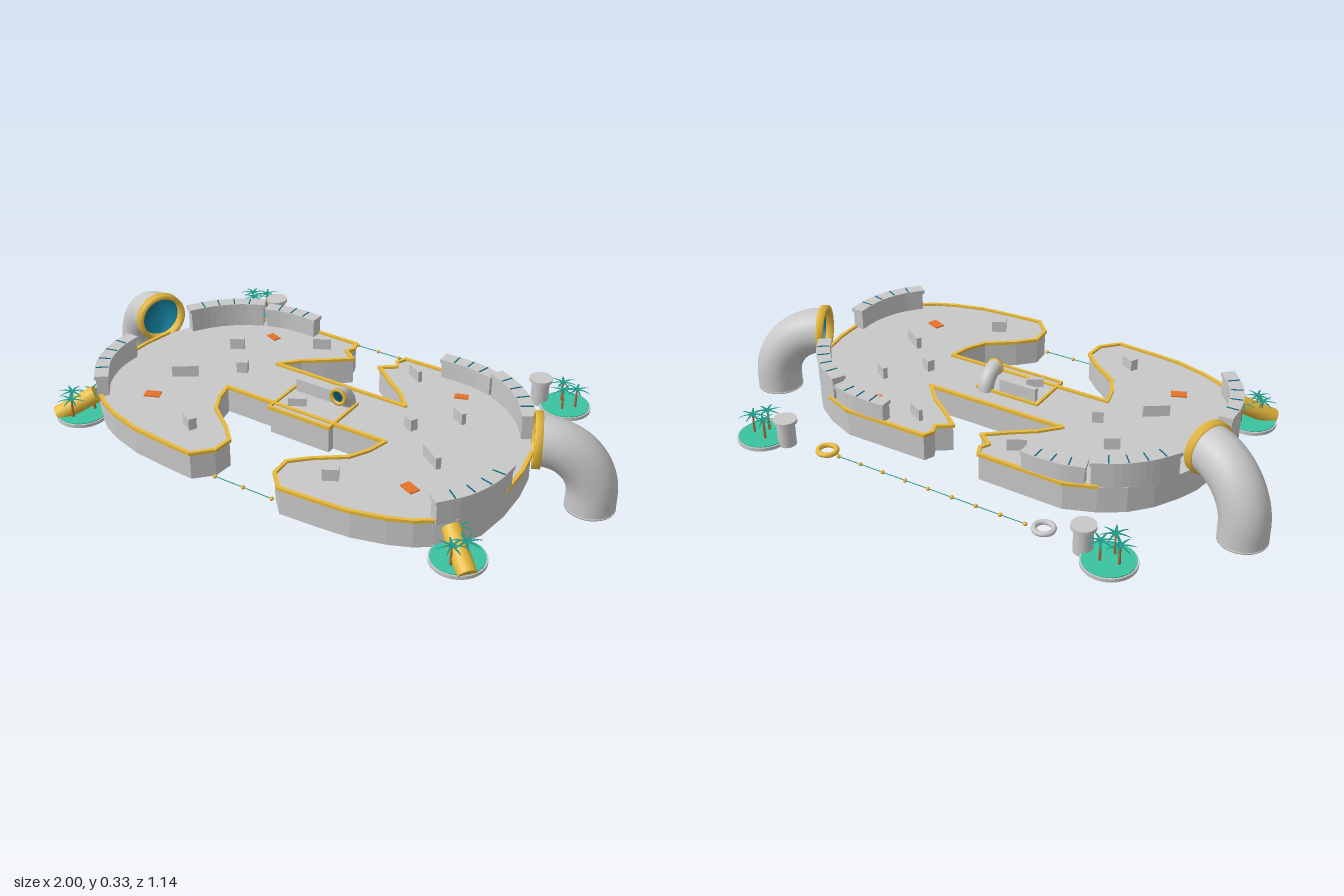
import * as THREE from 'three';

const mat = (name, color, side = THREE.FrontSide) => {
  const m = new THREE.MeshStandardMaterial({ color, side });
  m.name = name;
  return m;
};

export function createModel() {
  const root = new THREE.Group();
  root.name = 'arena';
  const grey = mat('grey', 0xc8c8c8);
  const yellow = mat('yellow', 0xeabc3e);
  const green = mat('green', 0x3bc2a0);
  const leafGreen = mat('leaf green', 0x1f9585, THREE.DoubleSide);
  const blue = mat('deep blue', 0x106c86, THREE.DoubleSide);
  const orange = mat('orange', 0xf5782e);
  const brown = mat('brown', 0xb0703c);

  const add = (parent, name, geo, material, x = 0, y = 0, z = 0, ry = 0) => {
    const m = new THREE.Mesh(geo, material);
    m.name = name;
    m.position.set(x, y, z);
    m.rotation.y = ry;
    parent.add(m);
    return m;
  };
  const group = (name, x = 0, y = 0, z = 0) => {
    const g = new THREE.Group();
    g.name = name;
    g.position.set(x, y, z);
    root.add(g);
    return g;
  };
  const box = (w, h, d) => new THREE.BoxGeometry(w, h, d);
  const cyl = (r, h, n = 24) => new THREE.CylinderGeometry(r, r, h, n);

  // Extrudes an [x, z] outline upward from y0 to y1
  const slab = (pts, y0, y1) => {
    const shape = new THREE.Shape(pts.map(([x, z]) => new THREE.Vector2(x, -z)));
    return new THREE.ExtrudeGeometry(shape, { depth: y1 - y0, bevelEnabled: false })
      .rotateX(-Math.PI / 2).translate(0, y0, 0);
  };

  // Straight bar between two points
  const bar = (parent, name, a, b, h, w, y, material) => {
    const dx = b[0] - a[0], dz = b[1] - a[1];
    return add(parent, name, box(Math.hypot(dx, dz) + w * 0.6, h, w), material,
      (a[0] + b[0]) / 2, y, (a[1] + b[1]) / 2, -Math.atan2(dz, dx));
  };

  // Platform: two lobes joined by a bridge
  const half = [
    [0.26, -0.05], [0.2, -0.115], [0.13, -0.165], [0.055, -0.225], [0.105, -0.26], [0.09, -0.29],
    [0.105, -0.325], [0.41, -0.328], [0.51, -0.29], [0.59, -0.24], [0.65, -0.175], [0.7, -0.09],
    [0.73, -0.02], [0.747, 0.08], [0.75, 0.2], [0.735, 0.32], [0.695, 0.4], [0.64, 0.445],
    [0.59, 0.48], [0.52, 0.51], [0.41, 0.54], [0.3, 0.55], [0.17, 0.558], [0.115, 0.5],
    [0.11, 0.43], [0.165, 0.375], [0.26, 0.305], [0.295, 0.24], [0.312, 0.17],
  ];
  const outline = [...half, ...half.map(([x, z]) => [-x, z]).reverse()];
  add(root, 'platform', slab(outline, 0.072, 0.166), grey);

  // Edge trim, left out where the walls stand
  const trim = group('edgeTrim');
  const walled = [8, 9, 10, 11, 14, 15, 16];
  outline.forEach((p, i) => {
    const edge = i < half.length ? i : outline.length - 2 - i;
    if (walled.includes(edge)) return;
    bar(trim, 'trimBar', p, outline[(i + 1) % outline.length], 0.011, 0.012, 0.1685, yellow);
  });

  // Curved wall with a wider cap and thin joint lines
  const wall = (name, pts, top, joints) => {
    const g = group(name);
    const curve = new THREE.CatmullRomCurve3(pts.map(([x, z]) => new THREE.Vector3(x, 0, z)));
    const ribbon = (w, t0, t1) => {
      const sides = [[], []];
      for (let i = 0; i <= 12; i++) {
        const t = t0 + (t1 - t0) * i / 12;
        const p = curve.getPointAt(t), d = curve.getTangentAt(t);
        sides[0].push([p.x - d.z * w, p.z + d.x * w]);
        sides[1].push([p.x + d.z * w, p.z - d.x * w]);
      }
      return [...sides[0], ...sides[1].reverse()];
    };
    add(g, 'wallBody', slab(ribbon(0.02, 0.02, 0.98), 0.16, top - 0.012), grey);
    add(g, 'wallCap', slab(ribbon(0.024, 0, 1), top - 0.014, top), grey);
    for (let i = 1; i <= joints; i++) {
      const t = i / (joints + 1), p = curve.getPointAt(t), d = curve.getTangentAt(t);
      add(g, 'joint', box(0.004, 0.004, 0.042), blue, p.x, top, p.z, -Math.atan2(d.z, d.x));
    }
  };

  // Elbow pipe from the ground to a flanged mouth facing local +z
  const elbow = (name, x, y, z, ry, scale, ringInner) => {
    const g = group(name, x, y, z);
    g.rotation.y = ry;
    g.scale.setScalar(scale);
    const path = new THREE.CurvePath();
    const k = 0.185 * 0.5523;
    path.add(new THREE.LineCurve3(new THREE.Vector3(0, 0, 0), new THREE.Vector3(0, 0.05, 0)));
    path.add(new THREE.CubicBezierCurve3(new THREE.Vector3(0, 0.05, 0), new THREE.Vector3(0, 0.05 + k, 0),
      new THREE.Vector3(0, 0.235, 0.185 - k), new THREE.Vector3(0, 0.235, 0.185)));
    add(g, 'pipeShell', new THREE.TubeGeometry(path, 28, 0.081, 32), grey);
    add(g, 'pipeLining', new THREE.TubeGeometry(path, 28, 0.074, 32), blue);
    const lip = (r0, r1, h) => new THREE.LatheGeometry(
      [[r0, 0], [r1, 0], [r1, h], [r0, h], [r0, 0]].map(([a, b]) => new THREE.Vector2(a, b)), 32);
    add(g, 'pipeFoot', lip(0.073, 0.082, 0.006), grey);
    add(g, 'mouthRing', lip(ringInner, 0.091, 0.025).rotateX(Math.PI / 2), yellow, 0, 0.235, 0.172);
  };

  // Small palm: thin trunk and nearly level fronds
  const palm = (parent, x, z, h, turn) => {
    const g = new THREE.Group();
    g.name = 'palm';
    g.position.set(x, 0, z);
    g.rotation.y = turn;
    parent.add(g);
    add(g, 'trunk', new THREE.CylinderGeometry(0.003, 0.005, h, 6), brown, 0, h / 2, 0);
    for (let i = 0; i < 7; i++) {
      const frond = new THREE.PlaneGeometry(0.046, 0.01, 4, 1).rotateX(-Math.PI / 2).translate(0.023, 0, 0);
      const p = frond.attributes.position;
      for (let j = 0; j < p.count; j++) {
        const t = p.getX(j) / 0.046;
        p.setY(j, 0.012 * t - 0.014 * t * t);
        p.setZ(j, p.getZ(j) * (1.1 - t * 0.8));
      }
      frond.computeVertexNormals();
      add(g, 'frond', frond, leafGreen, 0, h, 0, i * Math.PI * 2 / 7);
    }
  };
  const island = (name, x, z) => {
    const g = group(name, x, 0.068, z);
    add(g, 'islandBase', cyl(0.088, 0.012, 32), grey, 0, 0.006, 0);
    add(g, 'islandTop', cyl(0.083, 0.006, 32), green, 0, 0.012, 0);
    return g;
  };

  for (const s of [-1, 1]) {
    const m = (pts) => pts.map(([x, z]) => [s * x, z]);
    wall('backWallEnd', m([[0.26, -0.308], [0.33, -0.31], [0.4, -0.305], [0.47, -0.285]]), 0.237, 3);
    wall('backWall', m([[0.475, -0.282], [0.56, -0.235], [0.63, -0.17], [0.685, -0.09]]), 0.255, 4);
    wall('frontWall', m([[0.735, 0.165], [0.73, 0.26], [0.695, 0.36], [0.63, 0.445]]), 0.245, 4);
    elbow('elbowPipe', s * 0.917, 0, -0.088, -s * Math.atan2(0.17, 0.08), 1, 0.073);

    // Low cover blocks: x, z, length, depth, turn
    for (const [x, z, l, d, a] of [
      [0.193, -0.235, 0.065, 0.014, -0.52], [0.45, -0.072, 0.052, 0.016, -0.52],
      [0.337, 0.05, 0.038, 0.026, -0.45], [0.487, 0.182, 0.09, 0.018, -0.6],
      [0.272, 0.428, 0.052, 0.028, 0.5],
    ]) add(root, 'coverBlock', box(l, 0.042, d), grey, s * x, 0.186, z, s * a);

    // Flat floor pads
    add(root, 'floorPad', box(0.047, 0.004, 0.027), orange, s * 0.387, 0.168, -0.208, s * 0.35);
    add(root, 'floorPad', box(0.054, 0.004, 0.035), orange, s * 0.5, 0.168, 0.342, -s * 0.4);

    // Back islands with a capped pillar
    const back = island('backIsland', s * 0.652, -0.485);
    palm(back, -s * 0.022, -0.018, 0.086, 0.2);
    palm(back, s * 0.035, -0.005, 0.082, 0.9);
    palm(back, s * 0.002, 0.032, 0.088, 1.5);
    add(back, 'pillar', cyl(0.031, 0.09), grey, -s * 0.092, 0.045, 0.012);
    add(back, 'pillarCap', cyl(0.04, 0.012), grey, -s * 0.092, 0.092, 0.012);

    // Front islands with a tilted yellow barrel
    const front = island('frontIsland', s * 0.727, 0.455);
    palm(front, -s * 0.025, -0.035, 0.087, 0.3);
    palm(front, s * 0.03, 0.01, 0.087, 0.8);
    palm(front, 0, 0.045, 0.083, 1.3);
    const barrel = add(front, 'barrel', cyl(0.03, 0.152), yellow, s * 0.008, 0.046, 0.012);
    barrel.quaternion.setFromUnitVectors(new THREE.Vector3(0, 1, 0),
      new THREE.Vector3(-s * 0.1, 0.07, -0.085).normalize());

    // Floating ring at the end of the back rope
    add(root, 'floatRing', new THREE.TorusGeometry(0.031, 0.009, 10, 32).rotateX(Math.PI / 2),
      s > 0 ? yellow : grey, s * 0.412, 0.075, -0.445);
  }

  // Beaded ropes
  const rope = (name, x, z, count) => {
    const g = group(name, 0, 0.078, z);
    add(g, 'ropeLine', cyl(0.0015, x * 2, 6).rotateZ(Math.PI / 2), leafGreen);
    for (let i = 0; i < count; i++) {
      add(g, 'bead', new THREE.SphereGeometry(0.007, 10, 8), yellow, -x + 2 * x * i / (count - 1), 0, 0);
    }
  };
  rope('backRope', 0.355, -0.459, 9);
  rope('frontRope', 0.11, 0.513, 3);

  // Central deck on the bridge
  const deck = group('centralDeck');
  add(deck, 'deckBase', box(0.23, 0.096, 0.17), grey, 0, 0.12, 0.113);
  const corners = [[-0.118, 0.028], [0.118, 0.028], [0.118, 0.2], [-0.118, 0.2]];
  corners.forEach((p, i) => bar(deck, 'deckTrim', p, corners[(i + 1) % 4], 0.012, 0.009, 0.169, yellow));
  add(deck, 'deckWall', box(0.14, 0.05, 0.018), grey, -0.032, 0.19, 0.052);
  add(deck, 'deckBlock', box(0.06, 0.03, 0.014), grey, -0.048, 0.182, 0.137, 0.52);
  elbow('smallPipe', 0.088, 0.145, 0.035, 0, 0.34, 0.062);

  return root;
}
